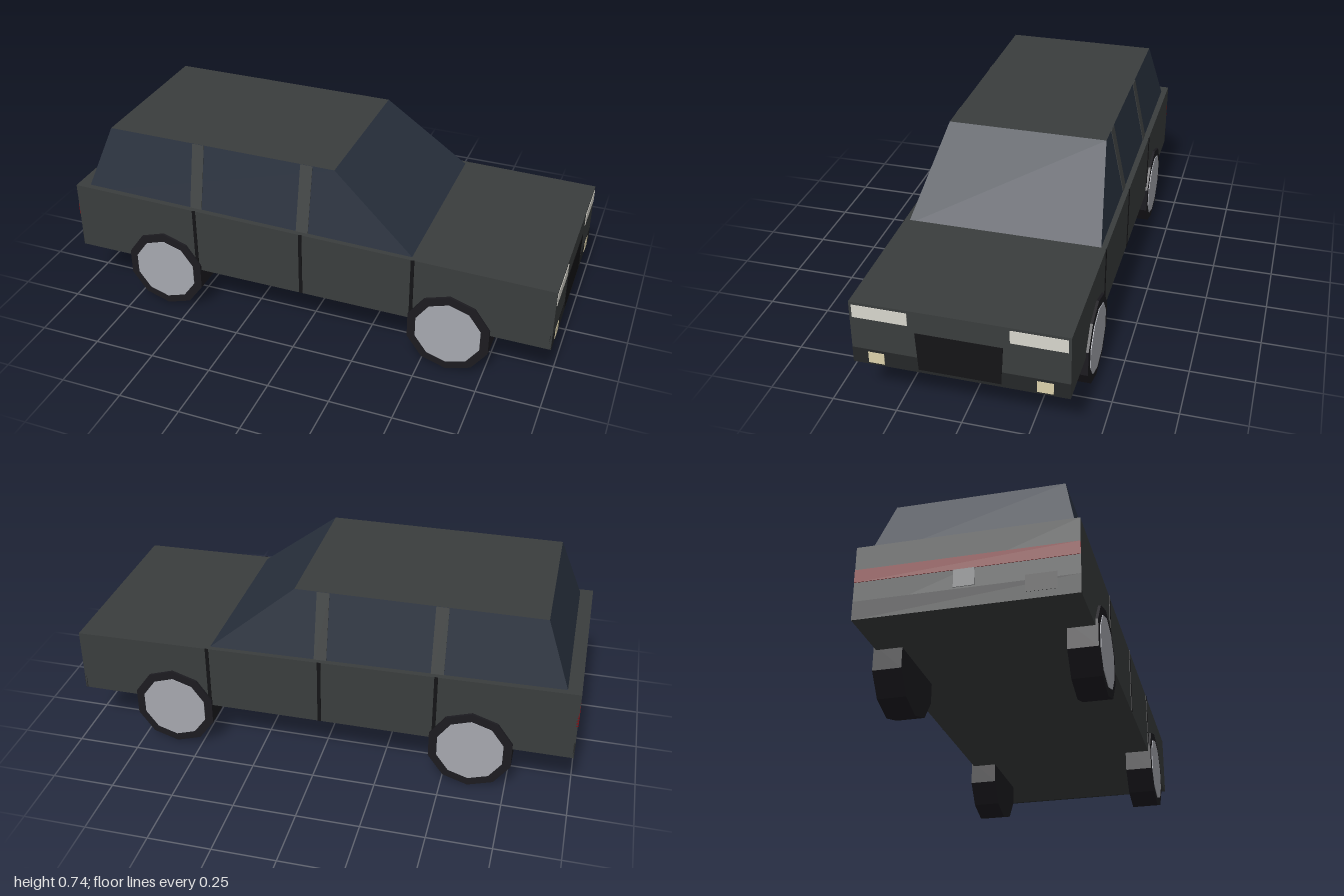
import * as THREE from 'three';

const mat = (color) => new THREE.MeshStandardMaterial({ color, flatShading: true });
const paint = mat(0x3a3d3d), glass = mat(0x28303d), black = mat(0x141416), trim = mat(0x252728);
const tyre = mat(0x1c1b20), hubGrey = mat(0xa6a8af), lamp = mat(0xd8d6cd), fog = mat(0xddd2ac);
const red = mat(0x7c1016), plateGrey = mat(0x77797b), pillarPaint = mat(0x404343);

// Height of the gently falling shoulder line, and half width of the cabin at a height
const shoulder = (x) => 0.4725 - 0.0145 * x;
const cabinZ = (y) => 0.32 + (0.74 - y) * 0.218;

export function createModel() {
  const car = new THREE.Group();

  // Box between two corners, with an optional rule that moves its vertices
  function block(name, material, [x0, x1], [y0, y1], [z0, z1], move) {
    const geo = new THREE.BoxGeometry(x1 - x0, y1 - y0, z1 - z0);
    geo.translate((x0 + x1) / 2, (y0 + y1) / 2, (z0 + z1) / 2);
    if (move) {
      const p = geo.attributes.position, v = new THREE.Vector3();
      for (let i = 0; i < p.count; i++) {
        move(v.fromBufferAttribute(p, i));
        p.setXYZ(i, v.x, v.y, v.z);
      }
      geo.computeVertexNormals();
    }
    const mesh = new THREE.Mesh(geo, material);
    mesh.name = name;
    car.add(mesh);
    return mesh;
  }

  // Lower body with sloping shoulder
  block('body', paint, [-0.998, 0.998], [0.198, 0.47], [-0.4, 0.4], (v) => {
    if (v.y > 0.3) v.y = shoulder(v.x);
  });

  // Tapered cabin: glass all round, painted roof
  block('cabin', [glass, glass, paint, paint, glass, glass], [-0.957, 0.458], [0.455, 0.74], [-1, 1], (v) => {
    if (v.y > 0.6) v.x = v.x > 0 ? 0.11 : -0.85;
    v.z = Math.sign(v.z) * cabinZ(v.y);
  });

  for (const s of [-1, 1]) {
    // Window pillars leaning with the glass
    for (const x of [-0.46, -0.003]) {
      block('windowPillar', pillarPaint, [x - 0.025, x + 0.025], [0.46, 0.739], [-1, 1], (v) => {
        v.z = s * cabinZ(v.y) + (v.z > 0 ? 0.002 : -0.002);
      });
    }
    // Door gaps
    for (const x of [-0.46, -0.003, 0.453]) {
      block('doorGap', black, [x - 0.007, x + 0.007], [0.199, shoulder(x)], [s * 0.4 - 0.002, s * 0.4 + 0.002]);
    }
    // Front lamps
    const span = (a, b) => (s > 0 ? [a, b] : [-b, -a]);
    block('headlight', lamp, [0.99, 1], [0.395, 0.447], span(0.185, 0.39));
    block('fogLight', fog, [0.99, 1.001], [0.206, 0.252], span(0.28, 0.34));

    // Ten-sided wheels with flat hub discs
    for (const x of [-0.606, 0.606]) {
      const wheel = new THREE.Group();
      wheel.name = 'wheel';
      const tire = new THREE.Mesh(new THREE.CylinderGeometry(0.17, 0.17, 0.11, 10), tyre);
      tire.name = 'tyre';
      const hub = new THREE.Mesh(new THREE.CylinderGeometry(0.135, 0.135, 0.01, 10), hubGrey);
      hub.name = 'hub';
      hub.position.y = 0.053;
      wheel.add(tire, hub);
      wheel.rotation.x = s * Math.PI / 2;
      wheel.position.set(x, 0.17, s * 0.355);
      car.add(wheel);
    }
  }

  // Nose: bumper band and tapered grille
  block('frontBumper', trim, [0.99, 0.9992], [0.198, 0.262], [-0.4, 0.4]);
  block('grille', black, [0.99, 1], [0.21, 0.368], [-0.16, 0.16], (v) => {
    if (v.y < 0.3) v.z *= 0.95;
  });

  // Tail: bumper band, full-width light bar, plate and exhaust recess
  block('rearBumper', trim, [-0.9992, -0.99], [0.198, 0.27], [-0.4, 0.4]);
  block('tailLightBar', red, [-1, -0.99], [0.345, 0.395], [-0.4, 0.4]);
  block('numberPlate', plateGrey, [-1.001, -0.99], [0.277, 0.345], [-0.04, 0.035]);
  block('exhaust', black, [-1, -0.99], [0.225, 0.29], [0.21, 0.32]);

  return car;
}
